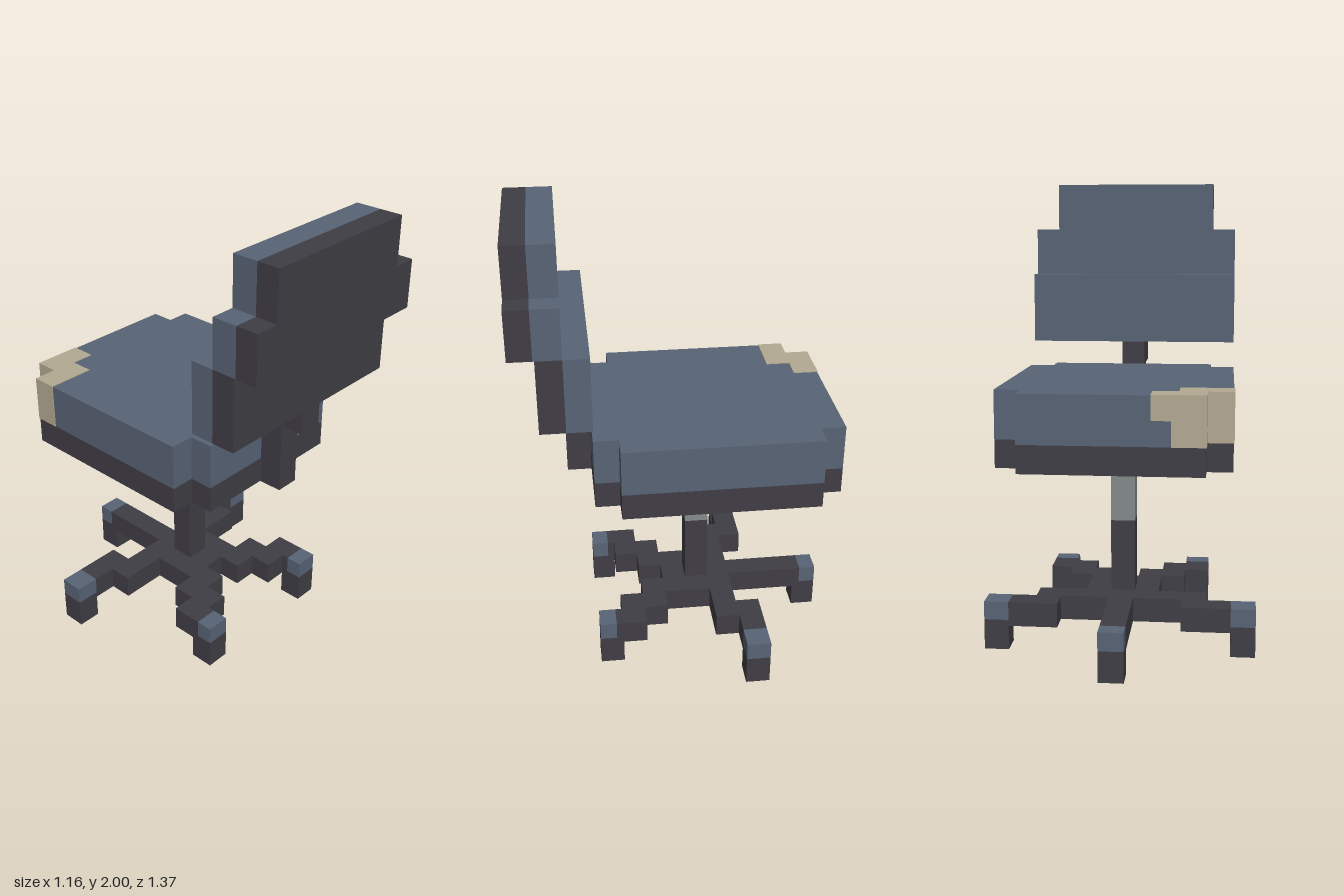
import * as THREE from 'three';

const U = 2 / 19; // one block

const mat = (name, color) => {
  const m = new THREE.MeshStandardMaterial({ color });
  m.name = name;
  return m;
};

export function createModel() {
  const dark = mat('dark plastic', 0x403e45);
  const blue = mat('blue fabric', 0x586475);
  const steel = mat('steel grey', 0x848a8a);
  const tan = mat('tan patch', 0xb3aa93);
  const model = new THREE.Group();
  model.name = 'officeChair';

  const group = (name) => {
    const g = new THREE.Group();
    g.name = name;
    model.add(g);
    return g;
  };
  // Box given by its extents in blocks, optionally swollen by a small margin
  const box = (parent, name, material, [x0, x1], [y0, y1], [z0, z1], grow = 0) => {
    const g = new THREE.BoxGeometry((x1 - x0) * U + grow, (y1 - y0) * U + grow, (z1 - z0) * U + grow);
    const mesh = new THREE.Mesh(g, material);
    mesh.name = name;
    mesh.position.set((x0 + x1) / 2 * U, (y0 + y1) / 2 * U, (z0 + z1) / 2 * U);
    parent.add(mesh);
  };

  // Seat: notched-corner cushion above a dark pan
  const seat = group('seat');
  const split = 9.1;
  for (const [name, material, y] of [['seatPan', dark, [8, split]], ['seatCushion', blue, [split, 11]]]) {
    box(seat, name, material, [-4.5, 4.5], y, [-5.5, 2.5]);
    box(seat, name + 'FrontEdge', material, [-3.5, 3.5], y, [-6.5, -5.5]);
    box(seat, name + 'RearEdge', material, [-3.5, 3.5], y, [2.5, 3.5]);
  }

  // Patch wrapped round one seat corner
  const patch = group('cornerPatch');
  box(patch, 'patchSide', tan, [-4.5, -2.5], [split + 0.03, 11], [-5.5, -4.5], 0.006);
  box(patch, 'patchEdgeUpper', tan, [-3.5, -1.5], [10.1, 11], [-6.5, -5.5], 0.006);
  box(patch, 'patchEdgeLower', tan, [-3.5, -2.25], [split + 0.03, 10.1], [-6.5, -5.5], 0.006);

  // Backrest: two staggered pads with dark shells
  const back = group('backrest');
  box(back, 'lowerPad', blue, [-4.5, 4.5], [12, 15], [3.5, 4.5]);
  box(back, 'lowerShell', dark, [-4.5, 4.5], [12, 15], [4.5, 5.5]);
  for (const [name, material, z] of [['Pad', blue, [4.5, 5.56]], ['Shell', dark, [5.56, 6.5]]]) {
    box(back, 'upper' + name, material, [-4.5, 4.5], [15, 17], z);
    box(back, 'top' + name, material, [-3.5, 3.5], [17, 19], z);
  }
  box(back, 'backPost', dark, [-0.5, 0.5], [8, 12], [3.5, 4.5]);
  box(back, 'backPostStep', dark, [-0.5, 0.5], [11, 12], [4.5, 5.5]);

  // Gas lift
  const lift = group('lift');
  box(lift, 'liftSleeve', dark, [-0.5, 0.5], [2, 5], [-1.5, -0.5]);
  box(lift, 'liftRod', steel, [-0.5, 0.5], [5, 8], [-1.5, -0.5]);

  // Five-armed base: stepped arms as runs of blocks on the floor plan
  const base = group('base');
  const cell = (x, z) => box(base, 'arm', dark, [x - 0.5, x + 0.5], [1, 2], [z - 0.5, z + 0.5]);
  box(base, 'frontArm', dark, [-0.5, 0.5], [1, 2], [-5.5, 0.5]);
  const steps = [
    [1, -1], [1, -2], [2, -2], [3, -2], [3, -3], [4, -3],
    [1, 0], [1, 1], [2, 1], [2, 2], [3, 2],
  ];
  for (const s of [-1, 1]) for (const [x, z] of steps) cell(s * x, z);

  // Casters: dark foot, blue cap on the outer end
  const casters = group('casters');
  const caster = (x, z, inner) => {
    const xs = [x - 0.5, x + 0.5], zs = [z - 0.5, z + 0.5], cap = [1.25, 2];
    box(casters, 'casterFoot', dark, xs, [0, 1.25], zs);
    if (!inner) {
      box(casters, 'casterCap', blue, xs, cap, zs);
      return;
    }
    // inner is the z direction pointing back to the hub
    const cut = z + inner * 0.2;
    const [near, far] = inner > 0 ? [[cut, zs[1]], [zs[0], cut]] : [[zs[0], cut], [cut, zs[1]]];
    box(casters, 'casterCap', blue, xs, cap, far);
    box(casters, 'casterNeck', dark, xs, cap, near);
  };
  caster(0, -6, 1);
  for (const s of [-1, 1]) {
    caster(s * 5, -3, 0);
    caster(s * 3, 3, -1);
  }
  return model;
}
